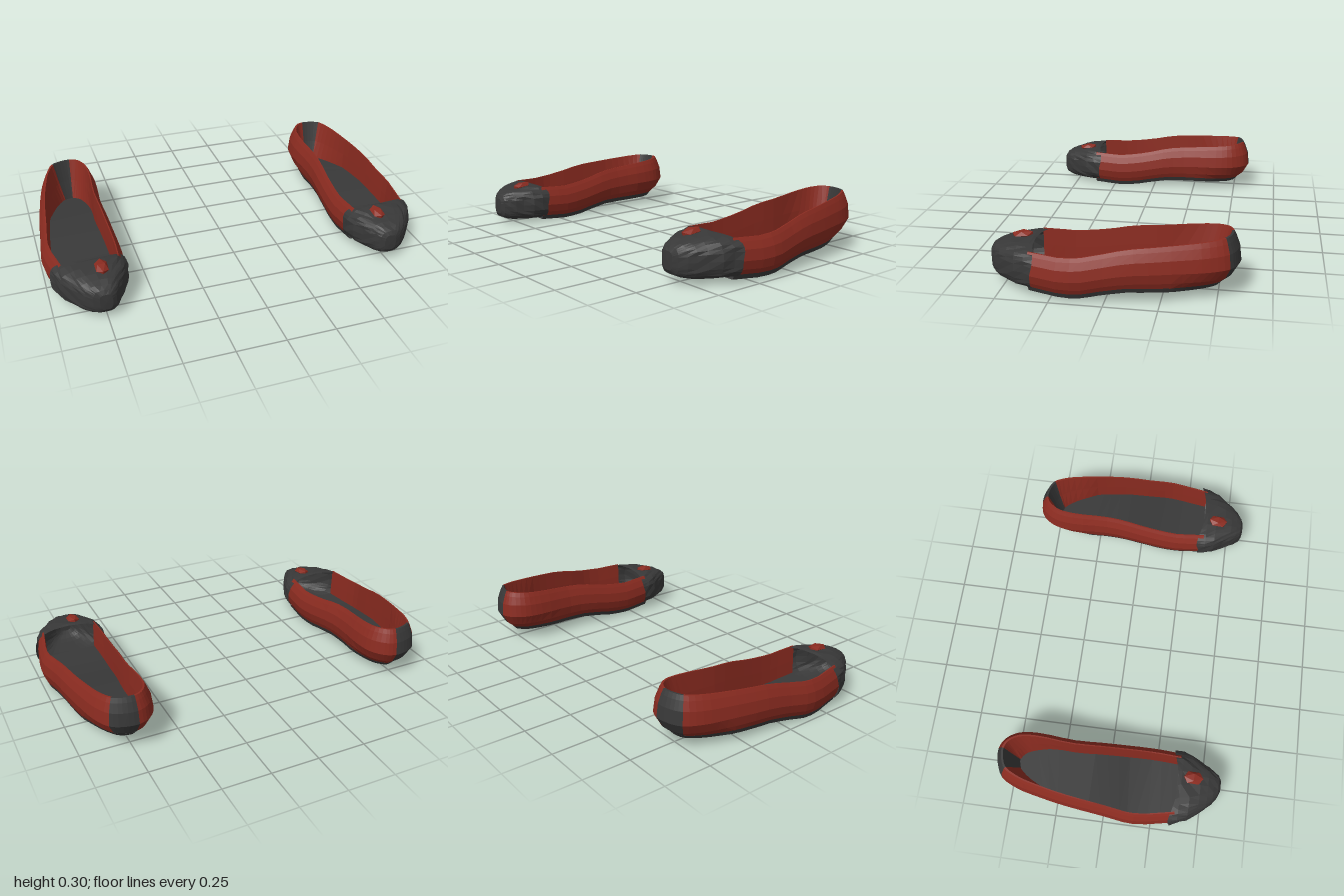
import * as THREE from 'three';

const red = new THREE.MeshStandardMaterial({ color: 0x8a2b20, side: THREE.DoubleSide, flatShading: true });
red.name = 'red leather';
const dark = new THREE.MeshStandardMaterial({ color: 0x383838, side: THREE.DoubleSide, flatShading: true });
dark.name = 'dark leather';

// Widest outline [x, z], from the inner toe round the heel to the outer toe
const OUTLINE = new THREE.CatmullRomCurve3([
  [0.605, 0.36], [0.596, 0.2], [0.605, 0], [0.618, -0.2], [0.607, -0.4],
  [0.62, -0.5], [0.665, -0.57], [0.725, -0.597], [0.8, -0.588], [0.86, -0.555],
  [0.905, -0.47], [0.935, -0.35], [0.962, -0.2], [0.985, 0], [1.0, 0.15], [0.965, 0.36],
].map(([x, z]) => new THREE.Vector3(x, 0, z)));
const SEGMENTS = 15;

// Heights along z: [z, y]
const BASE = [[-0.6, 0.036], [-0.3, 0.043], [-0.1, 0.04], [0, 0.026], [0.1, 0.007], [0.2, 0.001], [0.36, 0.012]];
const RIM = [[-0.56, 0.286], [-0.3, 0.264], [-0.1, 0.246], [0, 0.222], [0.1, 0.203], [0.2, 0.193], [0.36, 0.2]];

// Wall cross-section: [height fraction, inset, extra inset at the heel]
const WALL = [[0, 0.022, 0.05], [0.15, 0.01, 0.022], [0.4, 0, 0], [0.7, 0.008, 0],
  [0.9, 0.025, 0], [1, 0.036, 0], [1, 0.042, 0.004], [0.5, 0.046, 0.03], [0.05, 0.048, 0.06]];

// Toe cap sections: [z, inner x, outer x, bottom y, top y]
const CAP = [[0.335, 0.597, 0.983, 0.01, 0.207], [0.37, 0.6, 0.966, 0.012, 0.21],
  [0.42, 0.616, 0.945, 0.012, 0.206], [0.47, 0.644, 0.908, 0.014, 0.199],
  [0.51, 0.664, 0.876, 0.018, 0.19], [0.54, 0.682, 0.848, 0.026, 0.178],
  [0.565, 0.7, 0.815, 0.038, 0.165], [0.577, 0.722, 0.785, 0.058, 0.145]];

function table(rows, z) {
  if (z <= rows[0][0]) return rows[0][1];
  for (let i = 1; i < rows.length; i++) {
    const [z0, y0] = rows[i - 1], [z1, y1] = rows[i];
    if (z <= z1) return y0 + (y1 - y0) * (z - z0) / (z1 - z0);
  }
  return rows[rows.length - 1][1];
}

// Point on the outline at t, pulled inward
function outlinePoint(t, inset, heelInset) {
  const p = OUTLINE.getPoint(t);
  const a = OUTLINE.getPoint(Math.max(0, t - 0.02)), b = OUTLINE.getPoint(Math.min(1, t + 0.02));
  const d = b.sub(a).normalize();
  const heel = THREE.MathUtils.clamp((-0.3 - p.z) / 0.25, 0, 1);
  const amount = inset + heelInset * heel;
  return new THREE.Vector3(p.x - d.z * amount, 0, p.z + d.x * amount);
}

// Mesh through rows of points
function loft(name, rows, material) {
  const n = rows[0].length, index = [];
  for (let i = 0; i < rows.length - 1; i++) {
    for (let j = 0; j < n - 1; j++) {
      const a = i * n + j, b = a + n;
      index.push(a, a + 1, b, b, a + 1, b + 1);
    }
  }
  const geometry = new THREE.BufferGeometry().setFromPoints(rows.flat());
  geometry.setIndex(index);
  geometry.computeVertexNormals();
  const mesh = new THREE.Mesh(geometry, material);
  mesh.name = name;
  return mesh;
}

// Section of the upper between two outline knots
function wall(name, from, to, material) {
  const rows = [], steps = (to - from) * 3;
  for (let i = 0; i <= steps; i++) {
    const t = (from + (to - from) * i / steps) / SEGMENTS;
    const z = OUTLINE.getPoint(t).z;
    const low = table(BASE, z) + 0.022, high = table(RIM, z);
    rows.push(WALL.map(([f, inset, heel]) => {
      const p = outlinePoint(t, inset, heel);
      p.y = low + (high - low) * f;
      return p;
    }));
  }
  return loft(name, rows, material);
}

// Surface across the shoe between opposite outline points: [inset, heel inset, lift]
function across(name, sides) {
  const rows = [];
  for (let i = 0; i <= 24; i++) {
    const t = 0.5 * i / 24;
    const half = (u) => sides.map(([inset, heel, lift]) => {
      const p = outlinePoint(u, inset, heel);
      p.y = table(BASE, OUTLINE.getPoint(u).z) + lift;
      return p;
    });
    rows.push([...half(t), ...half(1 - t).reverse()]);
  }
  return loft(name, rows, dark);
}

// Boxy, wrinkled cap with a curved back edge
function toeCap() {
  const power = (v, e) => Math.sign(v) * Math.abs(v) ** e;
  const rows = CAP.map(([z, x0, x1, y0, y1], i) => {
    const row = [];
    for (let j = 0; j <= 32; j++) {
      const a = j / 32 * Math.PI * 2;
      const c = power(Math.cos(a), 0.6), s = power(Math.sin(a), 0.62);
      const wrinkle = i === 0 ? 1 : 1 + 0.025 * Math.sin(i * 2.3 + Math.cos(a * 5) * 3);
      const back = i === 0 && s > 0 ? 0.05 * (1 - c * c) - 0.03 * s : 0;
      row.push(new THREE.Vector3((x0 + x1) / 2 + c * wrinkle * (x1 - x0) / 2,
        (y0 + y1) / 2 + s * (s > 0 ? wrinkle : 1) * (y1 - y0) / 2, z + back));
    }
    return row;
  });
  // close the tip
  const tip = new THREE.Vector3(0.752, 0.1, 0.579);
  rows.push(rows[0].map(() => tip.clone()));
  return loft('toeCap', rows, dark);
}

function createShoe(name) {
  const shoe = new THREE.Group();
  shoe.name = name;
  shoe.add(
    wall('innerSide', 0, 7, red),
    wall('heelStrip', 7, 9, dark),
    wall('outerSide', 9, SEGMENTS, red),
    across('sole', [[0.02, 0.048, 0.024], [0.03, 0.06, 0]]),
    across('insole', [[0.044, 0.056, 0.034]]),
    toeCap(),
  );
  // Small faceted ornament on the cap
  const knot = new THREE.Mesh(new THREE.IcosahedronGeometry(1, 0), red);
  knot.name = 'toeKnot';
  knot.scale.set(0.036, 0.02, 0.058);
  knot.position.set(0.742, 0.205, 0.43);
  knot.rotation.x = 0.12;
  shoe.add(knot);
  return shoe;
}

export function createModel() {
  const model = new THREE.Group();
  model.name = 'pairOfShoes';
  const left = createShoe('leftShoe');
  left.position.y = 0.013;
  const right = createShoe('rightShoe');
  right.scale.x = -1;
  right.position.z = 0.012;
  model.add(left, right);
  return model;
}
